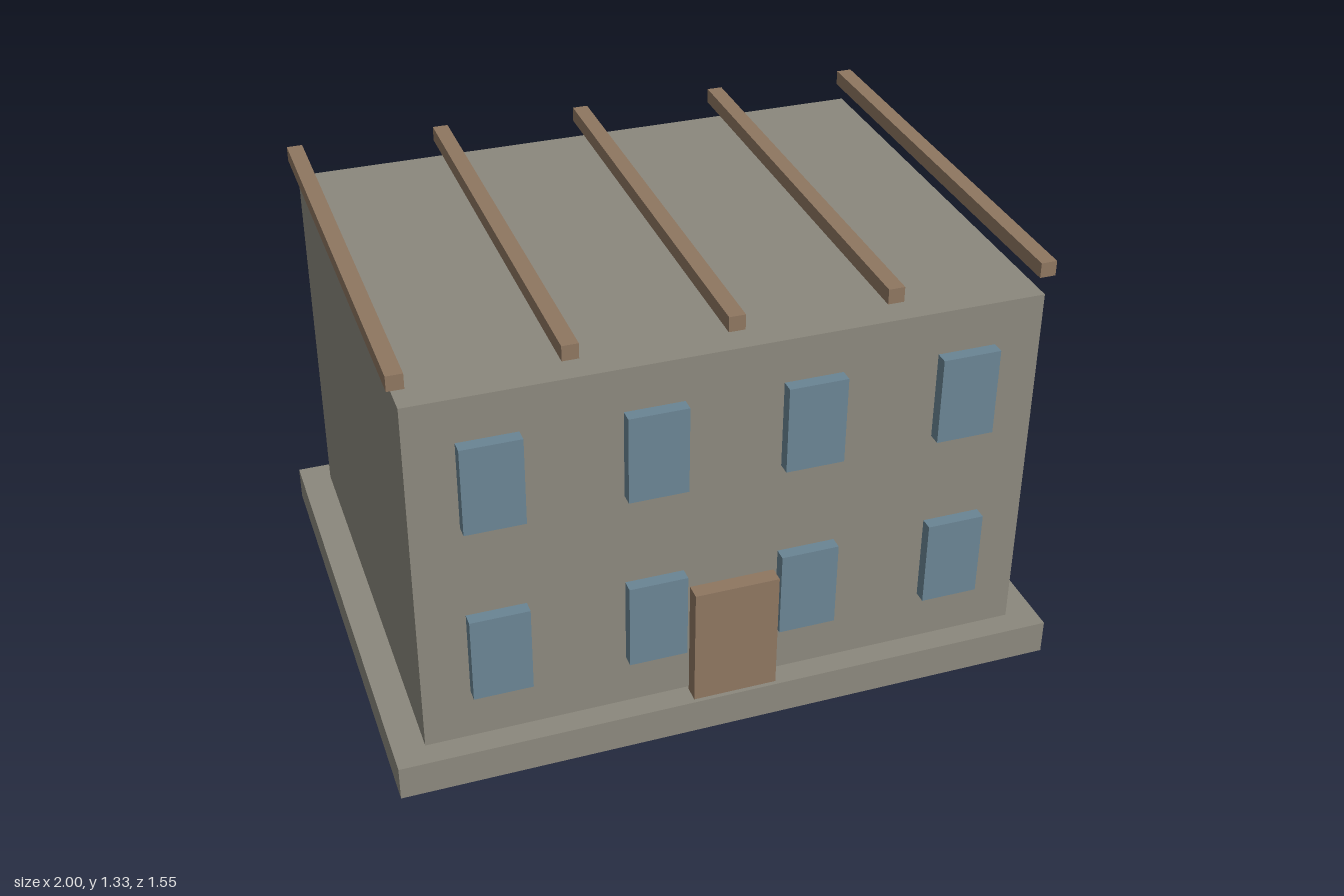
import * as THREE from 'three';

function material(name, color) {
  const m = new THREE.MeshStandardMaterial({ color });
  m.name = name;
  return m;
}

export function createModel() {
  const stone = material('stone', 0x8b887d);
  const wood = material('wood', 0x8e7660);
  const glass = material('blue glass', 0x6a8594);

  const model = new THREE.Group();
  model.name = 'house';

  // Box given by its size and the centre of its underside
  function box(name, mat, w, h, d, x, y, z, parent = model) {
    const mesh = new THREE.Mesh(new THREE.BoxGeometry(w, h, d), mat);
    mesh.name = name;
    mesh.position.set(x, y + h / 2, z);
    parent.add(mesh);
    return mesh;
  }

  // Foundation slab and main block
  box('foundation', stone, 2, 0.107, 1.546, 0, 0, 0);
  box('walls', stone, 1.814, 1.123, 1.4, 0, 0.107, 0);

  // Front door, standing just clear of the wall
  box('door', wood, 0.252, 0.375, 0.048, 0, 0.107, 0.736);

  // Two rows of four windows, front and back
  const windows = new THREE.Group();
  windows.name = 'windows';
  model.add(windows);
  for (const side of [1, -1]) {
    for (const y of [0.268, 0.829]) {
      for (const x of [-0.682, -0.227, 0.227, 0.682]) {
        box('window', glass, 0.172, 0.268, 0.038, x, y, side * 0.719, windows);
      }
    }
  }

  // Roof beams, floating above the flat roof
  const beams = new THREE.Group();
  beams.name = 'roofBeams';
  model.add(beams);
  for (let i = -2; i <= 2; i++) {
    box('roofBeam', wood, 0.047, 0.045, 1.4, i * 0.4545, 1.285, 0, beams);
  }

  return model;
}
